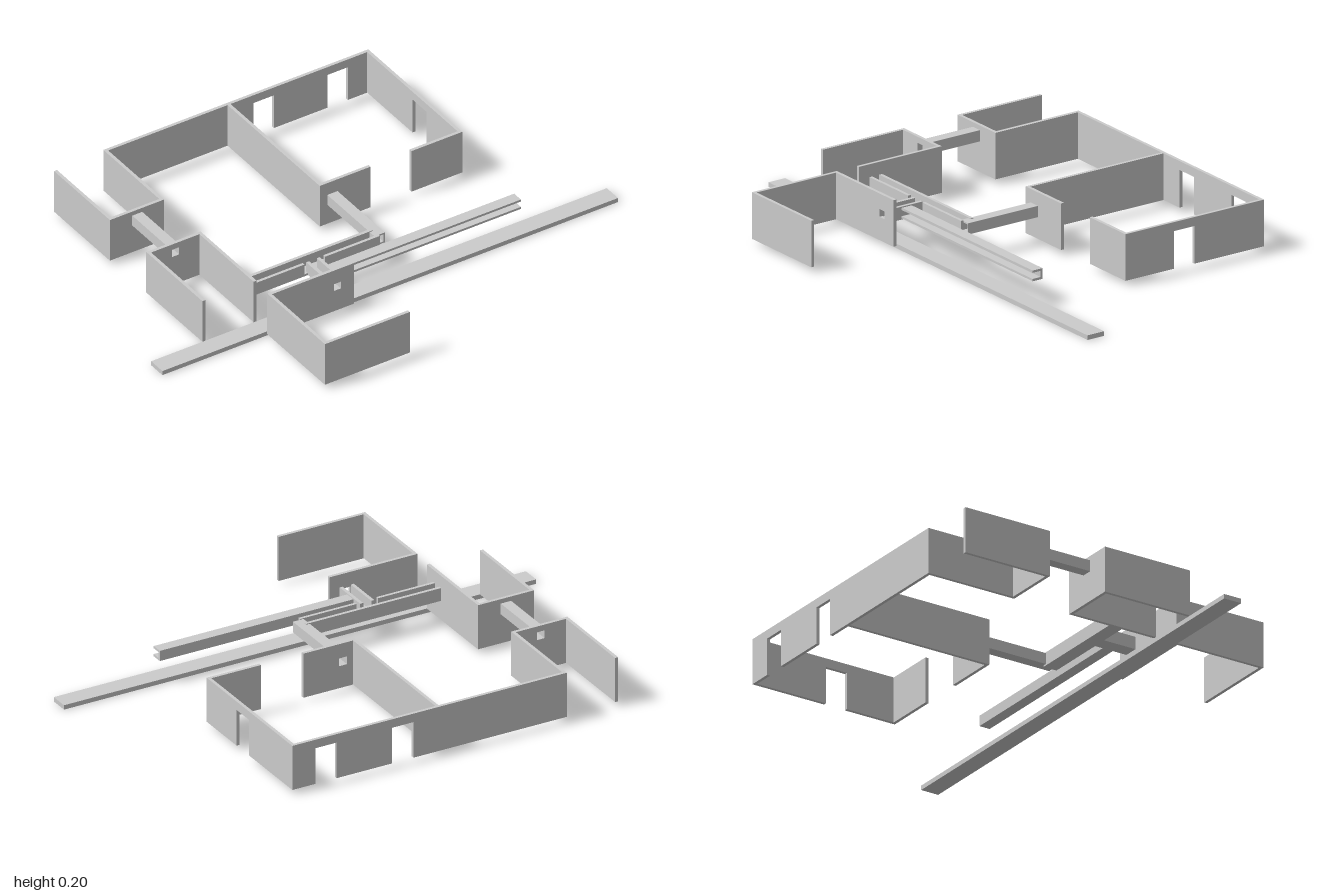
import * as THREE from 'three';

const material = new THREE.MeshStandardMaterial({ color: 0xcccccc, flatShading: true });
const FLOOR = 0.018, TOP = 0.2, DOOR = 0.165, T = 0.013;

export function createModel() {
  const model = new THREE.Group();

  function add(name, geometry) {
    const mesh = new THREE.Mesh(geometry, material);
    mesh.name = name;
    model.add(mesh);
    return mesh;
  }

  // Box given by its extents on each axis
  function block(name, x0, x1, y0, y1, z0, z1) {
    const g = new THREE.BoxGeometry(x1 - x0, y1 - y0, z1 - z0);
    g.translate((x0 + x1) / 2, (y0 + y1) / 2, (z0 + z1) / 2);
    return add(name, g);
  }

  // Outline of a wall with door notches [from, to] cut up from its foot, and windows [u0, u1, v0, v1]
  function wallShape(u0, u1, doors = [], windows = []) {
    const s = new THREE.Shape();
    s.moveTo(u0, TOP);
    s.lineTo(u0, FLOOR);
    for (const [a, b] of doors) {
      s.lineTo(a, FLOOR); s.lineTo(a, DOOR); s.lineTo(b, DOOR); s.lineTo(b, FLOOR);
    }
    s.lineTo(u1, FLOOR);
    s.lineTo(u1, TOP);
    s.closePath();
    for (const [a, b, c, d] of windows) s.holes.push(rect(new THREE.Path(), a, b, c, d));
    return s;
  }

  function rect(p, a, b, c, d) {
    p.moveTo(a, c); p.lineTo(b, c); p.lineTo(b, d); p.lineTo(a, d); p.closePath();
    return p;
  }

  const extrude = (shape, depth) => new THREE.ExtrudeGeometry(shape, { depth, bevelEnabled: false });

  // Wall running along x, its rear face at z
  function wallX(name, x0, x1, z, doors, windows) {
    add(name, extrude(wallShape(x0, x1, doors, windows), T).translate(0, 0, z));
  }

  // Wall running along z, its lower-x face at x; doors are given as -z
  function wallZ(name, x, z0, z1, doors) {
    add(name, extrude(wallShape(-z1, -z0, doors), T).rotateY(Math.PI / 2).translate(x, 0, 0));
  }

  // Hollow square duct along z
  function ductZ(name, x0, x1, y0, y1, z0, z1, t = 0.006) {
    const s = rect(new THREE.Shape(), x0, x1, y0, y1);
    s.holes.push(rect(new THREE.Path(), x0 + t, x1 - t, y0 + t, y1 - t));
    add(name, extrude(s, z1 - z0).translate(0, 0, z0));
  }

  // Long base strip
  block('baseStrip', -1, 1, 0, FLOOR, 0.26, 0.335);

  // Rear rooms
  wallX('backWall', -0.55, 0.613, -0.743, [[0.1, 0.19], [0.425, 0.515]]);
  wallZ('sideWall', 0.6, -0.73, -0.115, [[0.335, 0.427]]);
  wallZ('partitionWall', -0.013, -0.73, -0.115);
  wallX('frontWallInner', 0, 0.21, -0.128, [], [[0.026, 0.059, 0.109, 0.141]]);
  wallX('frontWallOuter', 0.39, 0.6, -0.128);

  // Two side rooms, open away from each other and joined by a duct
  const sideHole = [[-0.671, -0.639, 0.144, 0.176]];
  wallX('rearRoomEndWall', -0.775, -0.537, -0.37, [], sideHole);
  wallZ('rearRoomOuterWall', -0.775, -0.73, -0.37);
  wallZ('rearRoomInnerWall', -0.55, -0.73, -0.37);
  wallX('middleRoomEndWall', -0.775, -0.537, -0.115, [], sideHole);
  wallZ('middleRoomOuterWall', -0.775, -0.102, 0.26);
  wallZ('middleRoomInnerWall', -0.55, -0.102, 0.26);
  ductZ('sideDuct', -0.677, -0.633, 0.138, 0.182, -0.357, -0.115);

  // Front room, open on one side
  wallX('frontRoomRearWall', -0.55, -0.177, 0.35, [], [[-0.265, -0.235, 0.109, 0.139]]);
  wallX('frontRoomFrontWall', -0.55, -0.177, 0.722);
  wallZ('frontRoomSideWall', -0.55, 0.363, 0.722);

  // Duct from the rear rooms to the cross trough
  ductZ('rearDuct', 0.02, 0.065, 0.103, 0.147, -0.115, 0.2);

  // Cross trough, its front lip broken where the link trough joins
  block('crossTroughFloor', -0.537, 0.035, 0.097, 0.106, 0.155, 0.212);
  block('crossTroughBack', -0.537, 0.035, 0.106, 0.15, 0.155, 0.168);
  block('crossTroughLip', -0.537, -0.295, 0.106, 0.15, 0.2, 0.212);
  block('crossTroughLip', -0.205, 0.035, 0.106, 0.15, 0.2, 0.212);

  // Link trough to the front room
  block('linkTroughFloor', -0.28, -0.22, 0.097, 0.106, 0.2, 0.35);
  block('linkTroughSide', -0.28, -0.267, 0.106, 0.147, 0.2, 0.35);
  block('linkTroughSide', -0.233, -0.22, 0.106, 0.147, 0.2, 0.35);

  // Long channel above the base strip, open to the front
  block('longChannelTop', -0.22, 0.6, 0.134, 0.143, 0.25, 0.295);
  block('longChannelBottom', -0.22, 0.6, 0.101, 0.11, 0.25, 0.295);
  block('longChannelBack', -0.22, 0.6, 0.11, 0.134, 0.25, 0.259);

  return model;
}
